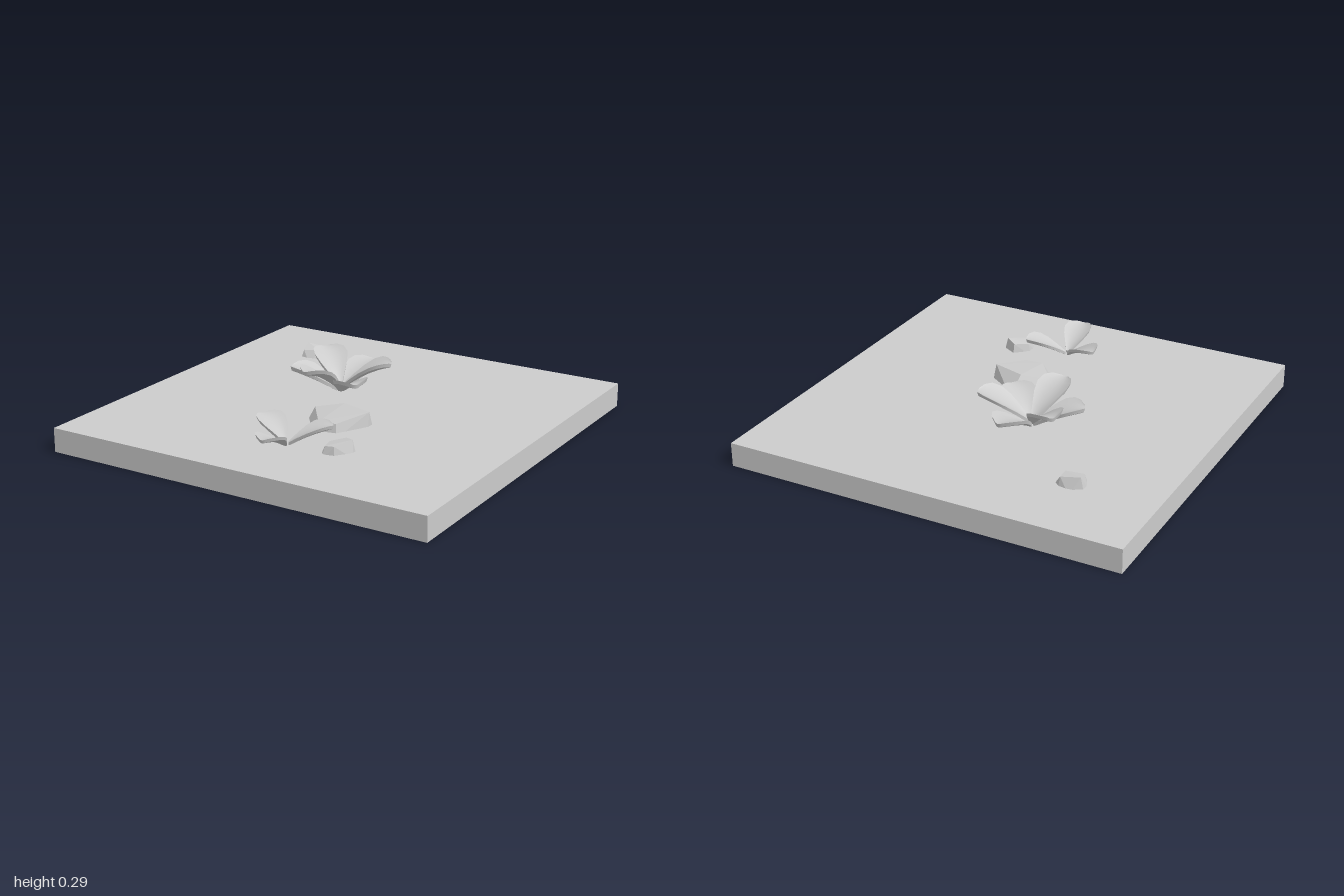
import * as THREE from 'three';
import { ConvexGeometry } from 'three/addons/geometries/ConvexGeometry.js';

const GROUND = 0.12;
const smooth = new THREE.MeshStandardMaterial({ color: 0xcccccc, side: THREE.DoubleSide });
const faceted = new THREE.MeshStandardMaterial({ color: 0xcccccc, side: THREE.DoubleSide, flatShading: true });

// Half width of a petal along its length: [t, half width]
const OUTLINE = [[0, 0.012], [0.2, 0.042], [0.4, 0.07], [0.6, 0.086], [0.78, 0.08], [0.92, 0.055], [1, 0.025]];

// Petal pointing along +z: a thin box bent into a cupped, outward curving leaf
function petalGeometry(length, base, rise, scale) {
  const segs = OUTLINE.length - 1;
  const geo = new THREE.BoxGeometry(2, 1, segs, 6, 1, segs);
  const p = geo.attributes.position;
  for (let i = 0; i < p.count; i++) {
    const v = p.getX(i), top = p.getY(i) > 0;
    const [t, half] = OUTLINE[Math.round(p.getZ(i) + segs / 2)];
    const inset = top ? 1 : 0.93;
    const lift = rise * (1 - Math.pow(1 - t, 1.6));
    const cup = 0.28 * half * v * v * scale;
    const tipRound = 1 - 0.03 * v * v * t;
    p.setXYZ(i, v * half * scale * inset,
      base + lift + cup - (top ? 0 : 0.02 * scale),
      0.01 + (length - 0.01) * t * tipRound * (top ? 1 : 0.98));
  }
  geo.computeVertexNormals();
  return geo;
}

// Ring of three petals, 120 degrees apart
function petalRing(name, startDegrees, geo) {
  const ring = new THREE.Group();
  ring.name = name;
  for (let i = 0; i < 3; i++) {
    const petal = new THREE.Mesh(geo, smooth);
    petal.name = 'petal';
    petal.rotation.y = THREE.MathUtils.degToRad(startDegrees + i * 120);
    ring.add(petal);
  }
  return ring;
}

// Faceted stone: hull of crown points and a sunken footprint, open underneath
function stone(name, crown, footprint) {
  const base = GROUND - 0.025;
  const points = crown.map((c) => new THREE.Vector3(...c));
  for (const [x, z] of footprint) points.push(new THREE.Vector3(x, base, z));
  const hull = new ConvexGeometry(points);
  const p = hull.attributes.position;
  const kept = [];
  for (let i = 0; i < p.count; i += 3) {
    const onFloor = [0, 1, 2].every((k) => p.getY(i + k) < base + 1e-4);
    if (!onFloor) for (let k = 0; k < 3; k++) kept.push(new THREE.Vector3().fromBufferAttribute(p, i + k));
  }
  const geo = new THREE.BufferGeometry().setFromPoints(kept);
  geo.computeVertexNormals();
  const mesh = new THREE.Mesh(geo, faceted);
  mesh.name = name;
  return mesh;
}

export function createModel() {
  const model = new THREE.Group();
  model.name = 'flowerTile';

  // Ground slab, hollow and open at the bottom
  const slabGeo = new THREE.BoxGeometry(2, GROUND, 2);
  const index = Array.from(slabGeo.index.array);
  index.splice(18, 6);
  slabGeo.setIndex(index);
  slabGeo.clearGroups();
  const slab = new THREE.Mesh(slabGeo, faceted);
  slab.name = 'groundSlab';
  slab.position.y = GROUND / 2;
  model.add(slab);

  // Large flower with two tiers of petals
  const large = new THREE.Group();
  large.name = 'largeFlower';
  large.position.set(-0.15, 0, -0.18);
  large.add(petalRing('lowerPetals', 49, petalGeometry(0.255, 0.13, 0.095, 1)));
  large.add(petalRing('upperPetals', -11, petalGeometry(0.26, 0.145, 0.13, 1)));
  model.add(large);

  // Small flower with one tier
  const small = new THREE.Group();
  small.name = 'smallFlower';
  small.position.set(0.05, 0, 0.61);
  small.add(petalRing('petals', 3, petalGeometry(0.215, 0.13, 0.08, 0.82)));
  model.add(small);

  // Stones
  model.add(stone('largeStone',
    [[-0.05, 0.165, 0.21], [0.08, 0.188, 0.15], [0.245, 0.188, 0.2], [0.16, 0.162, 0.36], [0.07, 0.16, 0.37]],
    [[-0.06, 0.2], [0.1, 0.07], [0.25, 0.17], [0.25, 0.22], [0.17, 0.375], [0.07, 0.395], [-0.06, 0.28]]));
  model.add(stone('leftStone',
    [[-0.625, 0.175, -0.625], [-0.53, 0.163, -0.64], [-0.525, 0.16, -0.575], [-0.61, 0.155, -0.555]],
    [[-0.645, -0.63], [-0.585, -0.665], [-0.525, -0.655], [-0.485, -0.62], [-0.49, -0.57], [-0.56, -0.525], [-0.62, -0.535], [-0.645, -0.58]]));
  model.add(stone('rightStone',
    [[0.245, 0.155, 0.55], [0.3, 0.165, 0.495], [0.355, 0.176, 0.53], [0.31, 0.16, 0.615], [0.26, 0.155, 0.615]],
    [[0.23, 0.545], [0.3, 0.48], [0.37, 0.52], [0.37, 0.55], [0.315, 0.625], [0.255, 0.638], [0.23, 0.605]]));

  return model;
}
